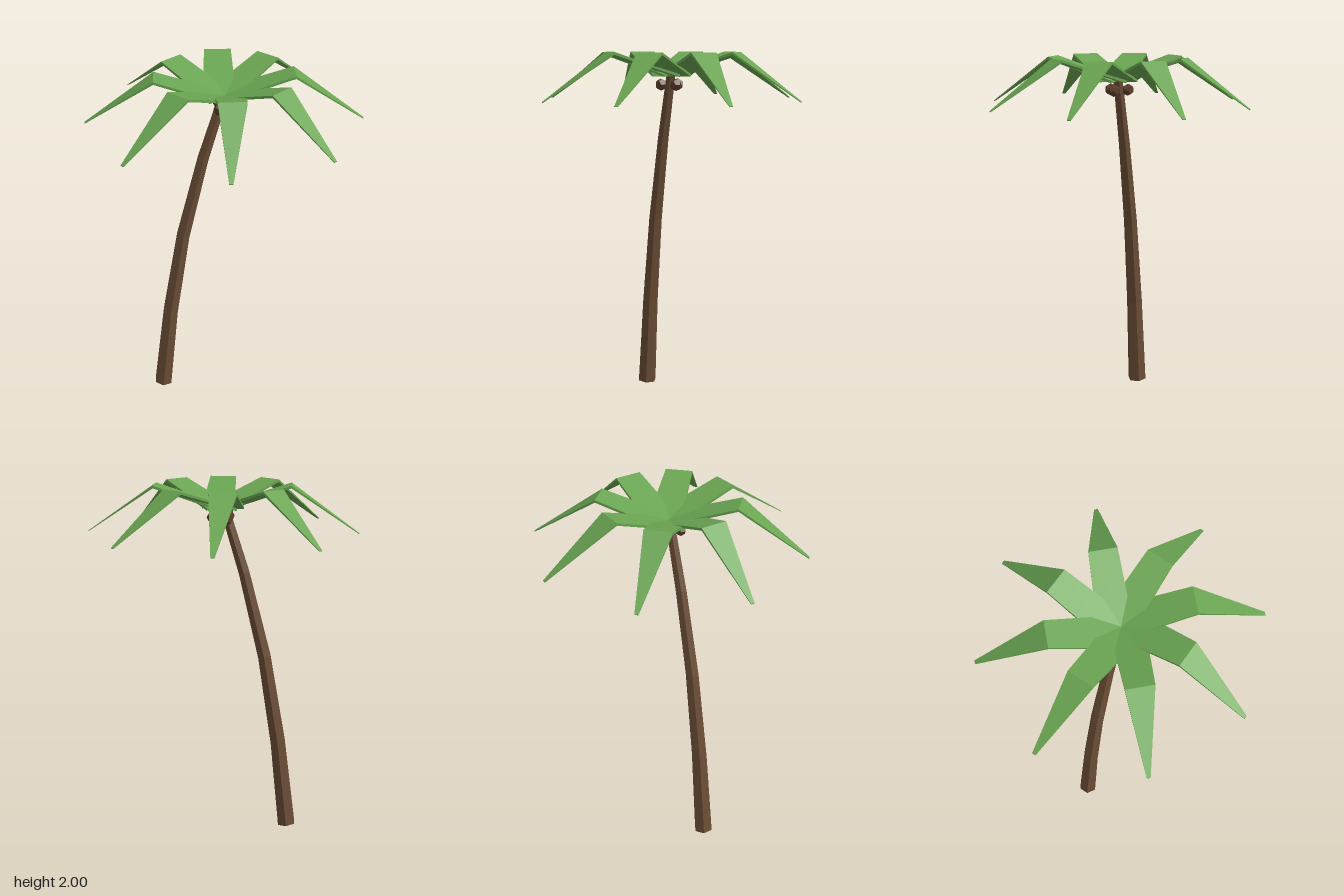
import * as THREE from 'three';

const bark = new THREE.MeshStandardMaterial({ color: 0x6b4e36, flatShading: true });
bark.name = 'bark brown';
const leaf = new THREE.MeshStandardMaterial({ color: 0x6aa552, flatShading: true });
leaf.name = 'leaf green';
const shell = new THREE.MeshStandardMaterial({ color: 0x5c3d2a, flatShading: true });
shell.name = 'nut brown';

// Closed solid through rings of points, counterclockwise seen from the far end
function loft(rings) {
  const pos = [];
  const tri = (a, b, c) => pos.push(...a, ...b, ...c);
  const n = rings[0].length;
  for (let i = 0; i < rings.length - 1; i++) {
    for (let j = 0; j < n; j++) {
      const k = (j + 1) % n;
      tri(rings[i][j], rings[i][k], rings[i + 1][k]);
      tri(rings[i][j], rings[i + 1][k], rings[i + 1][j]);
    }
  }
  const first = rings[0], last = rings[rings.length - 1];
  for (let j = 1; j < n - 1; j++) {
    tri(first[0], first[j + 1], first[j]);
    tri(last[0], last[j], last[j + 1]);
  }
  const g = new THREE.BufferGeometry();
  g.setAttribute('position', new THREE.Float32BufferAttribute(pos, 3));
  g.computeVertexNormals();
  return g;
}

function addMesh(parent, name, geometry, material) {
  const mesh = new THREE.Mesh(geometry, material);
  mesh.name = name;
  parent.add(mesh);
  return mesh;
}

// Leaning six-sided trunk: x, y, radius along its centre line
function trunkGeometry() {
  const path = [
    [-0.375, 0.007, 0.055], [-0.318, 0.52, 0.047], [-0.235, 1.03, 0.04],
    [-0.118, 1.51, 0.033], [-0.005, 1.88, 0.027],
  ];
  return loft(path.map(([x, y, r], i) => {
    const a = path[Math.max(i - 1, 0)], b = path[Math.min(i + 1, path.length - 1)];
    const t = new THREE.Vector2(b[0] - a[0], b[1] - a[1]).normalize();
    return Array.from({ length: 6 }, (_, j) => {
      const ang = (j * Math.PI) / 3;
      const side = r * Math.sin(ang);
      return [x + t.y * side, y - t.x * side, r * Math.cos(ang)];
    });
  }));
}

// Frond pointing to +z: rises to a fold, then drops to a narrow tip
function frondGeometry() {
  const sections = [ // z, left edge, right edge, top, thickness
    [0, -0.062, 0.115, 1.88, 0.014],
    [0.373, -0.05, 0.098, 2.0, 0.014],
    [0.747, -0.01, 0.01, 1.739, 0.004],
  ];
  return loft(sections.map(([z, x1, x2, y, t]) => [
    [x1, y - t, z], [x2, y - t, z], [x2, y, z], [x1, y, z],
  ]));
}

export function createModel() {
  const palm = new THREE.Group();
  palm.name = 'palmTree';
  addMesh(palm, 'trunk', trunkGeometry(), bark);

  // Crown of eight fronds
  const crown = new THREE.Group();
  crown.name = 'crown';
  palm.add(crown);
  const frond = frondGeometry();
  for (let i = 0; i < 8; i++) {
    addMesh(crown, 'frond' + (i + 1), frond, leaf).rotation.y = (i * Math.PI) / 4;
  }

  // Three nuts around the top of the trunk
  const nuts = new THREE.Group();
  nuts.name = 'nuts';
  palm.add(nuts);
  const nut = new THREE.DodecahedronGeometry(0.034);
  for (let i = 0; i < 3; i++) {
    const a = (i * Math.PI * 2) / 3;
    addMesh(nuts, 'nut' + (i + 1), nut, shell)
      .position.set(0.058 * Math.cos(a), 1.82, 0.058 * Math.sin(a));
  }
  return palm;
}
